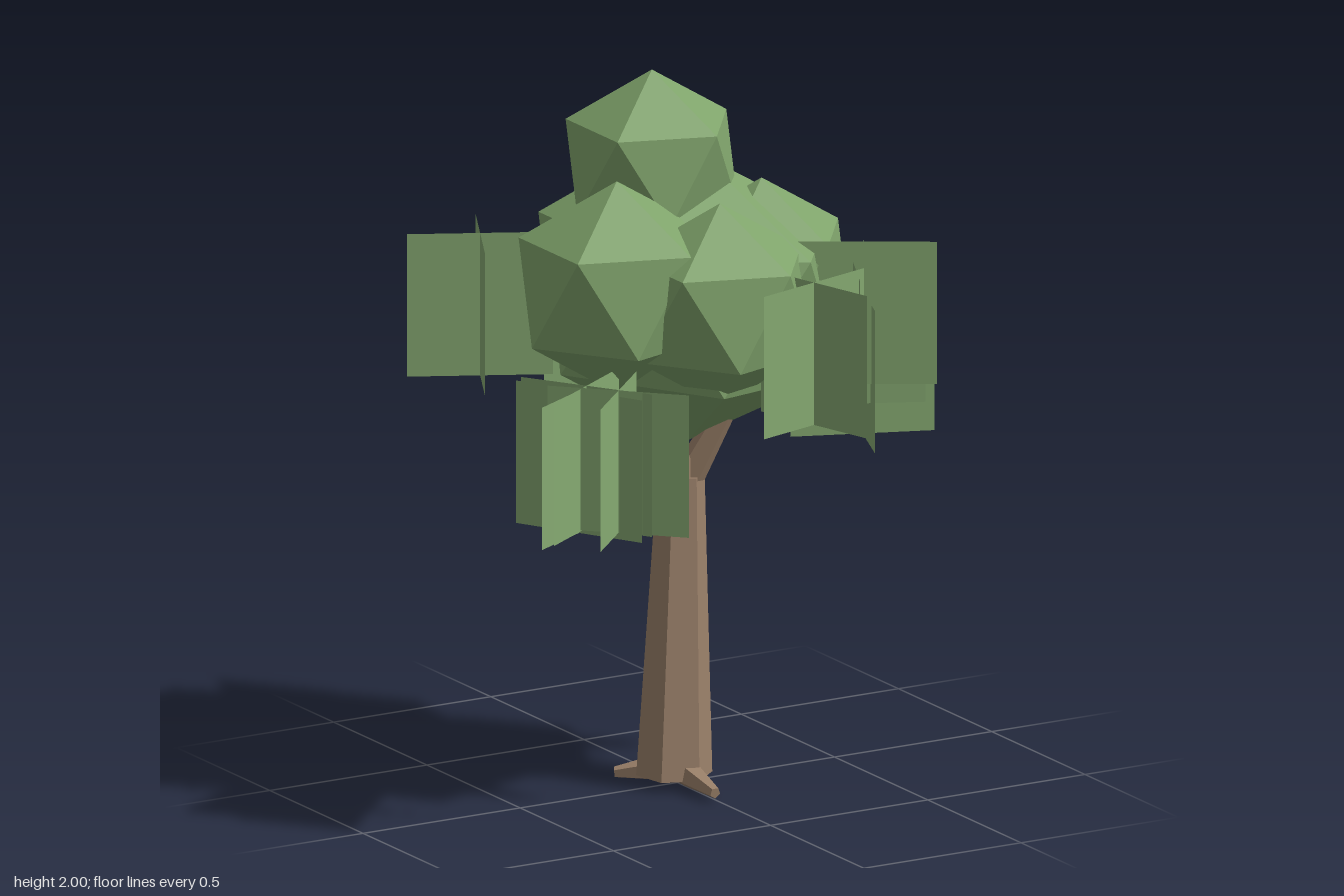
import * as THREE from 'three';

const bark = new THREE.MeshStandardMaterial({ color: 0x9a8069, flatShading: true });
const foliage = new THREE.MeshStandardMaterial({ color: 0x7fa36b, flatShading: true });
const leaf = new THREE.MeshStandardMaterial({ color: 0x86aa72, flatShading: true, side: THREE.DoubleSide });

// Tapered limb running from point a to point b
function limb(name, a, b, ra, rb, sides) {
  const from = new THREE.Vector3(...a), to = new THREE.Vector3(...b);
  const dir = to.clone().sub(from);
  const mesh = new THREE.Mesh(new THREE.CylinderGeometry(rb, ra, dir.length(), sides), bark);
  mesh.position.copy(from).lerp(to, 0.5);
  mesh.quaternion.setFromUnitVectors(new THREE.Vector3(0, 1, 0), dir.normalize());
  mesh.name = name;
  return mesh;
}

// Icosahedron standing on a corner
function clump(name, x, y, z, r, ry = r, tilt = 0) {
  const geo = new THREE.IcosahedronGeometry(1, 0);
  geo.rotateZ(-Math.atan(2 / (1 + Math.sqrt(5))));
  const mesh = new THREE.Mesh(geo, foliage);
  mesh.scale.set(r, ry, r);
  mesh.rotation.z = tilt;
  mesh.position.set(x, y, z);
  mesh.name = name;
  return mesh;
}

// Two upright leaf cards crossing at right angles
function leafCards(x, y, z, degrees) {
  const group = new THREE.Group();
  for (const turn of [0, Math.PI / 2]) {
    const card = new THREE.Mesh(new THREE.PlaneGeometry(0.4, 0.405), leaf);
    card.rotation.y = turn;
    card.name = 'leafCard';
    group.add(card);
  }
  group.position.set(x, y, z);
  group.rotation.y = THREE.MathUtils.degToRad(degrees);
  group.name = 'leafCluster';
  return group;
}

export function createModel() {
  const tree = new THREE.Group();
  tree.name = 'tree';

  // Leaning trunk: the top ring is shifted sideways so both ends stay level
  const trunkGeo = new THREE.CylinderGeometry(0.066, 0.106, 0.83, 6);
  trunkGeo.rotateY(THREE.MathUtils.degToRad(10));
  const p = trunkGeo.attributes.position;
  for (let i = 0; i < p.count; i++) {
    const t = p.getY(i) / 0.83 + 0.5;
    p.setXYZ(i, p.getX(i) - 0.01 + 0.057 * t, p.getY(i) + 0.443, p.getZ(i) - 0.06 * t);
  }
  const trunk = new THREE.Mesh(trunkGeo, bark);
  trunk.name = 'trunk';
  tree.add(trunk);

  // Roots
  for (const [x, z] of [[-0.01, 0.22], [0.13, -0.16], [-0.14, -0.1]]) {
    tree.add(limb('root', [x * 0.2, 0.042, z * 0.2], [x, 0.025, z], 0.042, 0.016, 5));
  }

  // Branches spreading into the crown
  for (const [x, z] of [[-0.06, 0.03], [0.15, 0.02], [0.05, -0.17]]) {
    tree.add(limb('branch', [0.047 + (x - 0.047) * 0.15, 0.85, -0.06 + (z + 0.06) * 0.15], [x, 1.06, z], 0.048, 0.032, 5));
  }

  // Crown
  tree.add(
    clump('crownCore', 0.085, 1.355, -0.055, 0.465, 0.405, -0.05),
    clump('crownTop', -0.01, 1.735, -0.12, 0.265),
    clump('crownRight', -0.24, 1.462, 0.08, 0.302),
    clump('crownFront', -0.01, 1.42, 0.245, 0.288),
    clump('crownLeft', 0.25, 1.42, 0.03, 0.272),
    clump('crownBack', 0.03, 1.41, -0.22, 0.33)
  );

  // Hanging leaf clusters: x, y, z, turn
  const clusters = [
    [-0.485, 1.372, -0.24, -27],
    [-0.47, 1.045, 0.265, 29],
    [-0.455, 1.06, 0.28, 33],
    [-0.41, 1.063, 0.375, 45],
    [0.09, 1.087, -0.505, -8],
    [0.135, 1.323, 0.505, 16],
    [0.4, 1.357, 0.325, -31],
    [0.38, 1.298, 0.3, -25],
    [0.472, 1.175, 0.197, -21],
  ];
  for (const c of clusters) tree.add(leafCards(...c));

  return tree;
}
